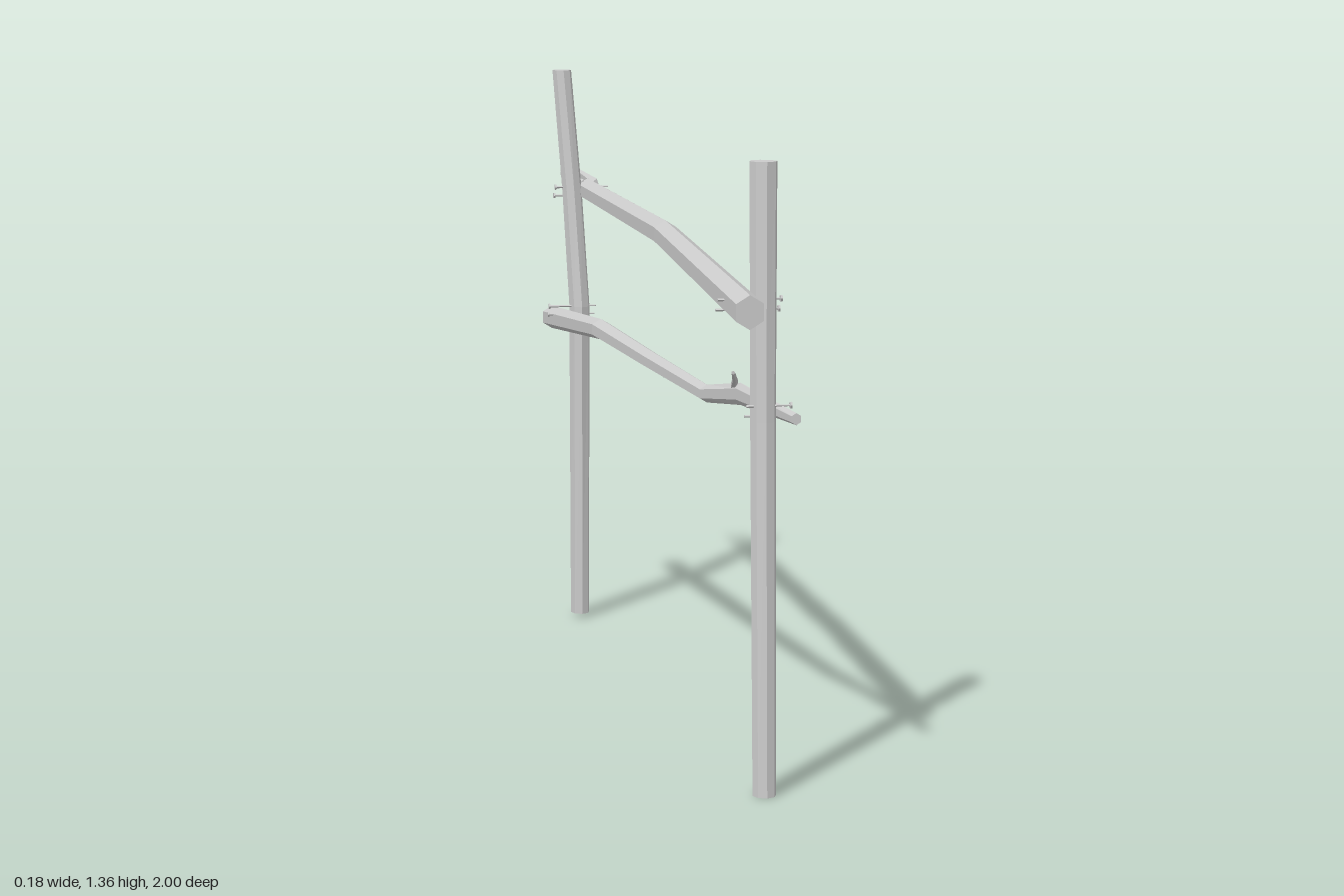
import * as THREE from 'three';

const material = new THREE.MeshStandardMaterial({ color: 0xcccccc, flatShading: true });

// Lofts a capped pole. Each ring is [x, y, z, r1, r2], listed in ascending order along the axis.
// Rings lie across z (r1 = x, r2 = y) for rails, or across y (r1 = z, r2 = x) for posts.
function pole(name, axis, rings, sides = 6, turn = 0) {
  const positions = [];
  const index = [];
  for (const [x, y, z, r1, r2 = r1] of rings) {
    for (let j = 0; j < sides; j++) {
      const a = turn + (j / sides) * Math.PI * 2;
      const u = Math.cos(a) * r1;
      const v = Math.sin(a) * r2;
      if (axis === 'z') positions.push(x + u, y + v, z);
      else positions.push(x + v, y, z + u);
    }
  }
  for (let i = 0; i < rings.length - 1; i++) {
    for (let j = 0; j < sides; j++) {
      const k = (j + 1) % sides;
      const a = i * sides + j, b = i * sides + k;
      index.push(a, b, b + sides, a, b + sides, a + sides);
    }
  }
  const last = (rings.length - 1) * sides;
  for (let j = 1; j < sides - 1; j++) {
    index.push(0, j + 1, j, last, last + j, last + j + 1);
  }
  const geometry = new THREE.BufferGeometry();
  geometry.setAttribute('position', new THREE.Float32BufferAttribute(positions, 3));
  geometry.setIndex(index);
  geometry.computeVertexNormals();
  const mesh = new THREE.Mesh(geometry, material);
  mesh.name = name;
  return mesh;
}

// A nail driven across the fence, with a small head at one end
function nail(x0, x1, y, z) {
  const group = new THREE.Group();
  group.name = 'nail';
  const shaft = new THREE.Mesh(new THREE.CylinderGeometry(0.003, 0.002, Math.abs(x1 - x0), 5), material);
  shaft.name = 'nailShaft';
  shaft.position.set((x0 + x1) / 2, y, z);
  const head = new THREE.Mesh(new THREE.CylinderGeometry(0.007, 0.007, 0.004, 6), material);
  head.name = 'nailHead';
  head.position.set(x1, y, z);
  shaft.rotation.z = head.rotation.z = Math.PI / 2;
  group.add(shaft, head);
  return group;
}

export function createModel() {
  const fence = new THREE.Group();
  fence.name = 'fence';

  // Upright posts
  fence.add(
    pole('frontPost', 'y', [
      [0.03, 0, 0.93, 0.025, 0.024],
      [0.031, 0.75, 0.9, 0.027, 0.026],
      [0.033, 1.26, 0.885, 0.03, 0.028],
    ], 8),
    pole('backPost', 'y', [
      [-0.017, 0.01, -0.76, 0.03, 0.023],
      [-0.019, 0.78, -0.745, 0.036, 0.025],
      [-0.034, 1.06, -0.757, 0.03, 0.024],
      [-0.056, 1.355, -0.77, 0.024, 0.023],
    ], 8),
  );

  // Upper rail, split into two prongs at its back end
  fence.add(
    pole('upperRail', 'z', [
      [0.009, 1.063, -0.78, 0.028, 0.026],
      [-0.012, 1.05, 0.2, 0.028, 0.03],
      [-0.021, 0.978, 1, 0.032, 0.034],
    ], 6, Math.PI / 6),
    pole('leftProng', 'z', [
      [0.018, 1.093, -1, 0.003, 0.008],
      [0.027, 1.066, -0.77, 0.011, 0.024],
    ], 5),
    pole('rightProng', 'z', [
      [-0.015, 1.085, -1, 0.003, 0.008],
      [-0.006, 1.064, -0.77, 0.012, 0.024],
    ], 5),
  );

  // Lower rail, crooked and flattened toward the front, with a side twig
  fence.add(
    pole('lowerRail', 'z', [
      [-0.065, 0.738, -0.87, 0.026, 0.028],
      [-0.05, 0.777, -0.32, 0.024, 0.024],
      [-0.012, 0.755, 0.05, 0.021, 0.021],
      [0.03, 0.733, 0.42, 0.018, 0.019],
      [0.047, 0.766, 0.65, 0.012, 0.023],
      [0.075, 0.766, 0.99, 0.011, 0.012],
    ], 6, Math.PI / 6),
    pole('twig', 'z', [
      [0.045, 0.775, 0.6, 0.008, 0.011],
      [0.025, 0.802, 0.69, 0.006, 0.006],
      [0.002, 0.828, 0.77, 0.004, 0.004],
    ], 5),
  );

  // Nails at the four crossings
  const crossings = [
    [-0.06, 0.068, 0.98, 0.885],
    [0.055, -0.075, 1.06, -0.765],
    [0.02, -0.095, 0.77, -0.745],
    [-0.005, 0.085, 0.77, 0.9],
  ];
  for (const [x0, x1, y, z] of crossings) {
    for (const s of [-1, 1]) fence.add(nail(x0, x1, y + s * 0.011, z + s * 0.009));
  }
  return fence;
}
